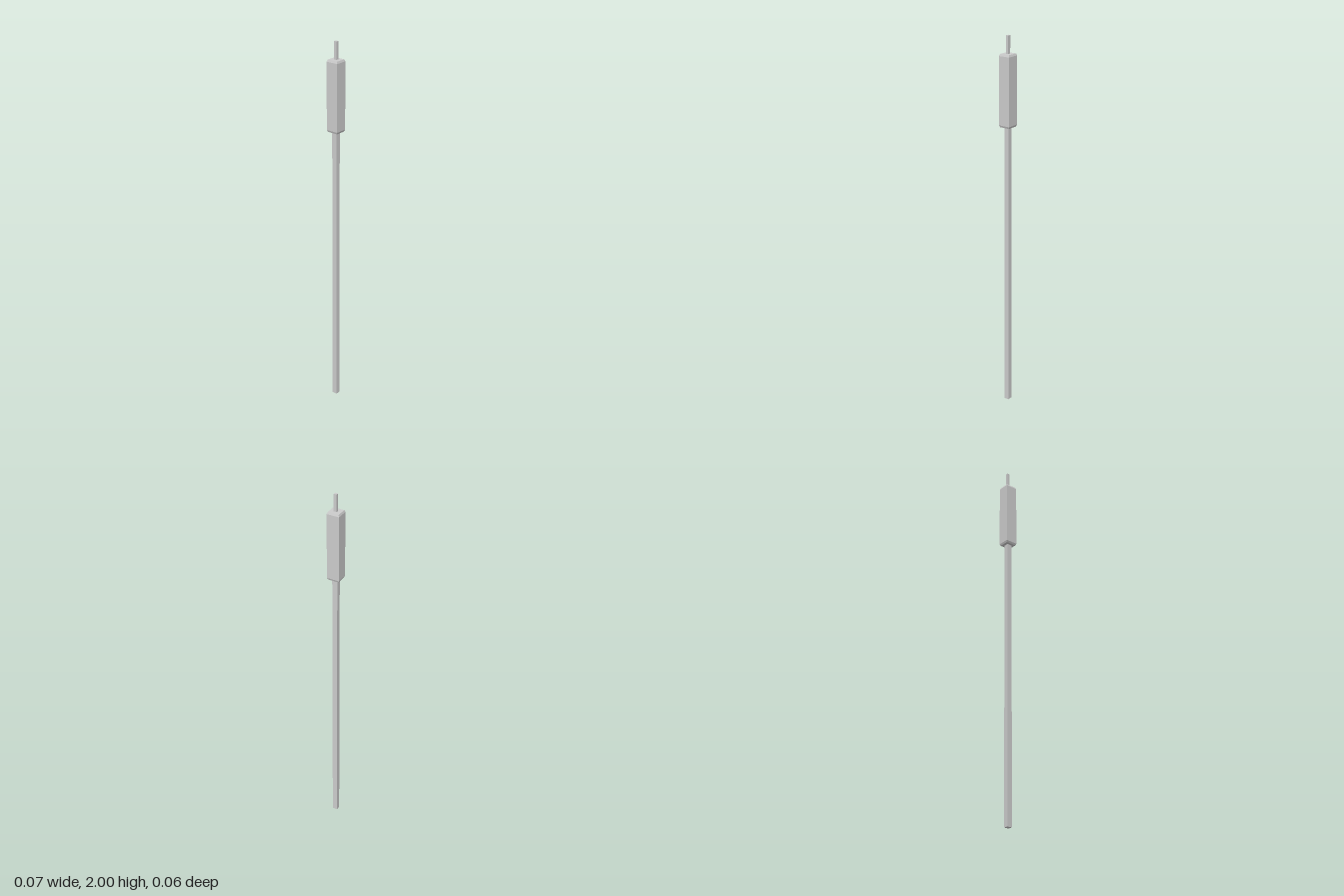
import * as THREE from 'three';

const material = new THREE.MeshStandardMaterial({ color: 0xcccccc, flatShading: true });

// Upright square post between two heights
function post(name, width, depth, bottom, top, rows = 1) {
  const geometry = new THREE.BoxGeometry(width, top - bottom, depth, 1, rows, 1);
  const mesh = new THREE.Mesh(geometry, material);
  mesh.name = name;
  mesh.position.y = (bottom + top) / 2;
  return mesh;
}

// Pull in the two end rings and slide the inner rings out to form a small bevel
function bevelEnds(geometry, inset, height) {
  const p = geometry.attributes.position;
  const half = geometry.parameters.height / 2;
  for (let i = 0; i < p.count; i++) {
    const y = p.getY(i);
    if (Math.abs(y) > half - 1e-5) {
      p.setX(i, p.getX(i) - Math.sign(p.getX(i)) * inset);
      p.setZ(i, p.getZ(i) - Math.sign(p.getZ(i)) * inset);
    } else {
      p.setY(i, Math.sign(y) * (half - height));
    }
  }
  geometry.computeVertexNormals();
}

export function createModel() {
  const group = new THREE.Group();
  group.name = 'reed';

  // Long thin stalk
  group.add(post('stalk', 0.028, 0.025, 0, 1.55));

  // Thick seed head with bevelled ends
  const head = post('seedHead', 0.066, 0.062, 1.543, 1.91, 3);
  bevelEnds(head.geometry, 0.004, 0.01);
  group.add(head);

  // Fine spike on top
  const tip = post('tipSpike', 0.016, 0.013, 1.9, 2);
  tip.position.z = -0.001;
  group.add(tip);

  return group;
}
